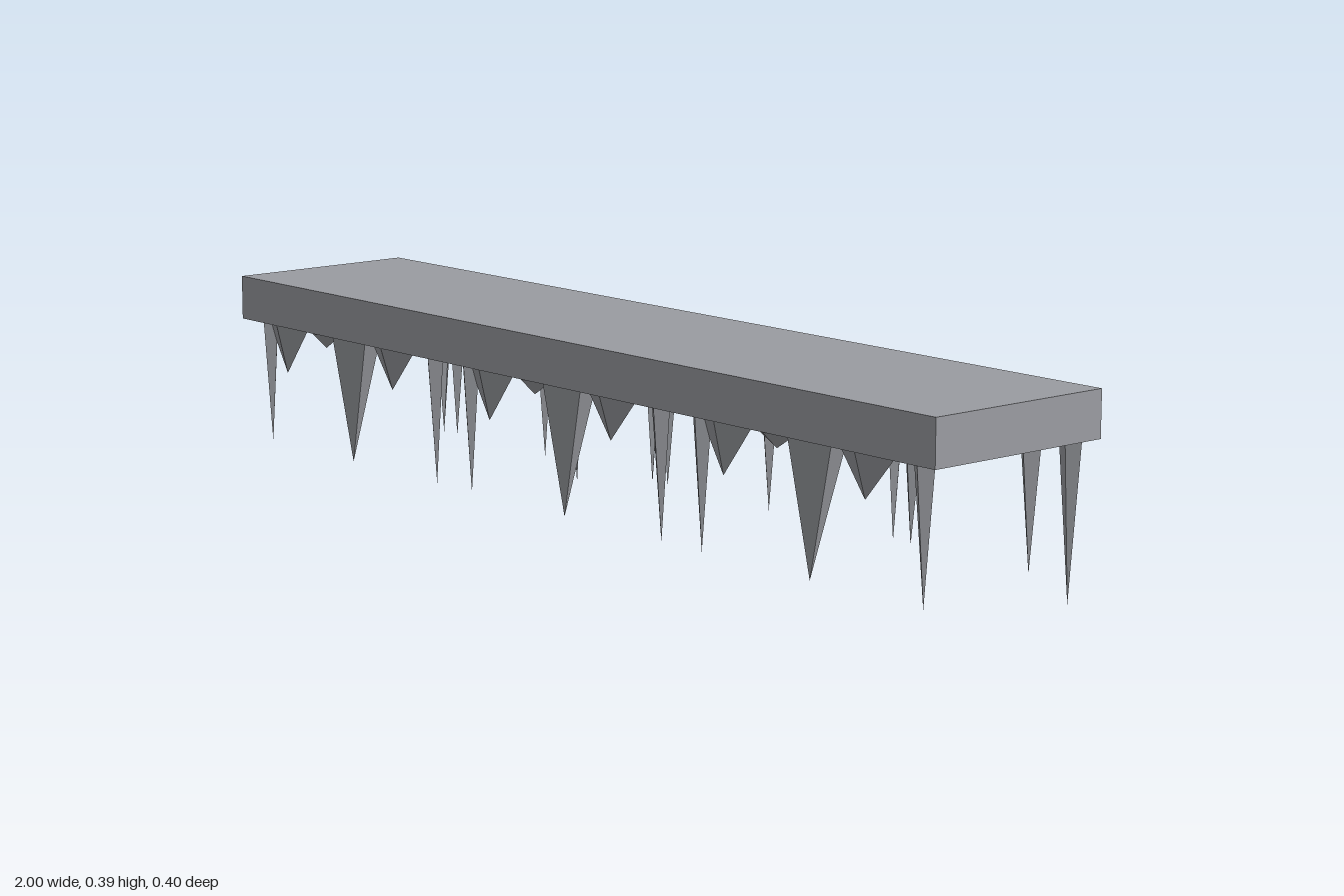
import * as THREE from 'three';

const BASE = 0.302; // underside of the slab
const TOP = 0.39;

// Four-sided spike hanging from the slab: base span x0..x1 and z0..z1, tip at (tx, ty, tz)
function spikeGeometry({ x: [x0, x1], z: [z0, z1], tip: [tx, ty, tz], square }) {
  const g = new THREE.ConeGeometry(1, 1, 4, 1, true);
  if (square) g.rotateY(Math.PI / 4).scale(Math.SQRT2, 1, Math.SQRT2);
  g.rotateX(Math.PI);
  const p = g.attributes.position;
  for (let i = 0; i < p.count; i++) {
    if (p.getY(i) < 0) p.setXYZ(i, tx, ty, tz);
    else p.setXYZ(i, (x0 + x1) / 2 + p.getX(i) * (x1 - x0) / 2, BASE, (z0 + z1) / 2 + p.getZ(i) * (z1 - z0) / 2);
  }
  g.computeVertexNormals();
  return g;
}

const FRONT = [0.15, 0.186];
const STUB = [0.138, 0.199];
const BACK = [-0.18, -0.136];
const EDGE = [-0.199, -0.172];

// Spikes of the leftmost section; the pattern repeats three times
const SPIKES = [
  { name: 'frontSpike', x: [-0.97, -0.92], z: FRONT, tip: [-0.945, 0.05, 0.168] },
  { name: 'frontStub', x: [-0.95, -0.81], z: STUB, tip: [-0.888, 0.2, 0.168] },
  { name: 'frontShallowStub', x: [-0.81, -0.7], z: STUB, tip: [-0.75, 0.27, 0.168] },
  { name: 'frontWideSpike', x: [-0.705, -0.595], z: FRONT, tip: [-0.664, 0.05, 0.168], square: true },
  { name: 'frontStub', x: [-0.595, -0.455], z: STUB, tip: [-0.53, 0.215, 0.168] },
  { name: 'frontSpike', x: [-0.415, -0.365], z: FRONT, tip: [-0.388, 0.05, 0.168] },
  { name: 'backSpike', x: [-0.81, -0.768], z: BACK, tip: [-0.79, 0.05, -0.157] },
  { name: 'backSpike', x: [-0.77, -0.715], z: BACK, tip: [-0.745, 0.05, -0.157] },
  { name: 'backSpike', x: [-0.483, -0.43], z: BACK, tip: [-0.455, 0.05, -0.157] },
  { name: 'backLongSpike', x: [-0.418, -0.363], z: EDGE, tip: [-0.388, 0.003, -0.185] },
];

export function createModel() {
  const model = new THREE.Group();
  model.name = 'spikedLedge';
  const stone = new THREE.MeshStandardMaterial({ color: 0x9a9ca1, flatShading: true });
  stone.name = 'grey stone';

  // Flat slab
  const slab = new THREE.Mesh(new THREE.BoxGeometry(2, TOP - BASE, 0.4), stone);
  slab.name = 'slab';
  slab.position.y = (TOP + BASE) / 2;
  model.add(slab);

  // Hanging spikes, section by section
  for (let i = 0; i < 3; i++) {
    const section = new THREE.Group();
    section.name = `spikeSection${i + 1}`;
    section.position.x = i * 0.667;
    for (const s of SPIKES) {
      const mesh = new THREE.Mesh(spikeGeometry(s), stone);
      mesh.name = s.name;
      section.add(mesh);
    }
    model.add(section);
  }
  return model;
}
